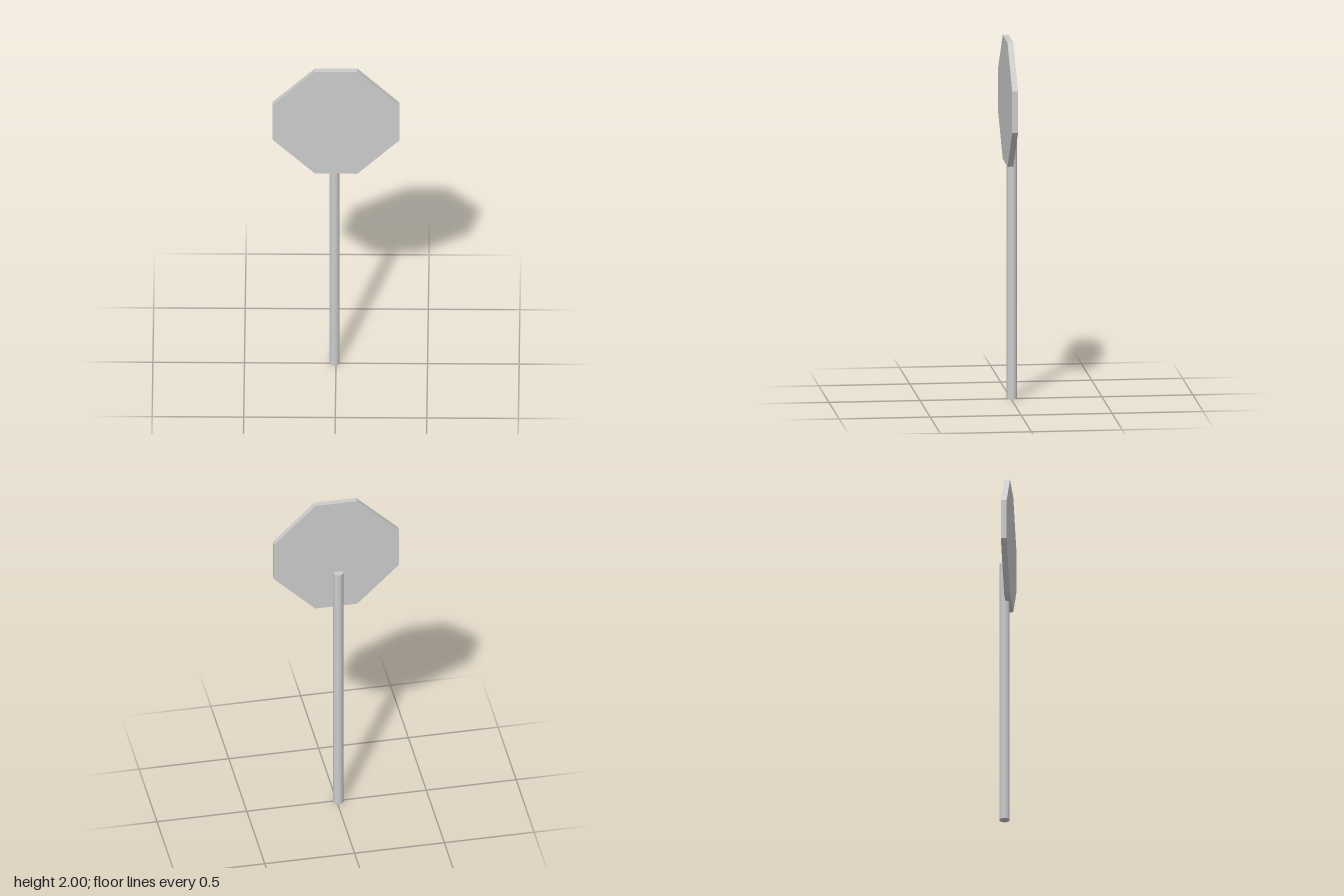
import * as THREE from 'three';

export function createModel() {
  const group = new THREE.Group();
  const material = new THREE.MeshStandardMaterial({ color: 0xcccccc });

  // Round post, running up behind the plate to its lower side corners
  const postHeight = 1.54;
  const post = new THREE.Mesh(new THREE.CylinderGeometry(0.028, 0.028, postHeight, 32), material);
  post.name = 'post';
  post.position.set(-0.008, postHeight / 2, -0.006);
  group.add(post);

  // Flat octagonal plate
  const outline = [
    [-0.115, 1.31], [0.118, 1.31], [0.348, 1.54], [0.348, 1.77],
    [0.118, 2], [-0.115, 2], [-0.348, 1.77], [-0.348, 1.54],
  ].map(([x, y]) => new THREE.Vector2(x, y));
  const plate = new THREE.Mesh(
    new THREE.ExtrudeGeometry(new THREE.Shape(outline), { depth: 0.032, bevelEnabled: false }),
    material
  );
  plate.name = 'signPlate';
  group.add(plate);

  return group;
}
